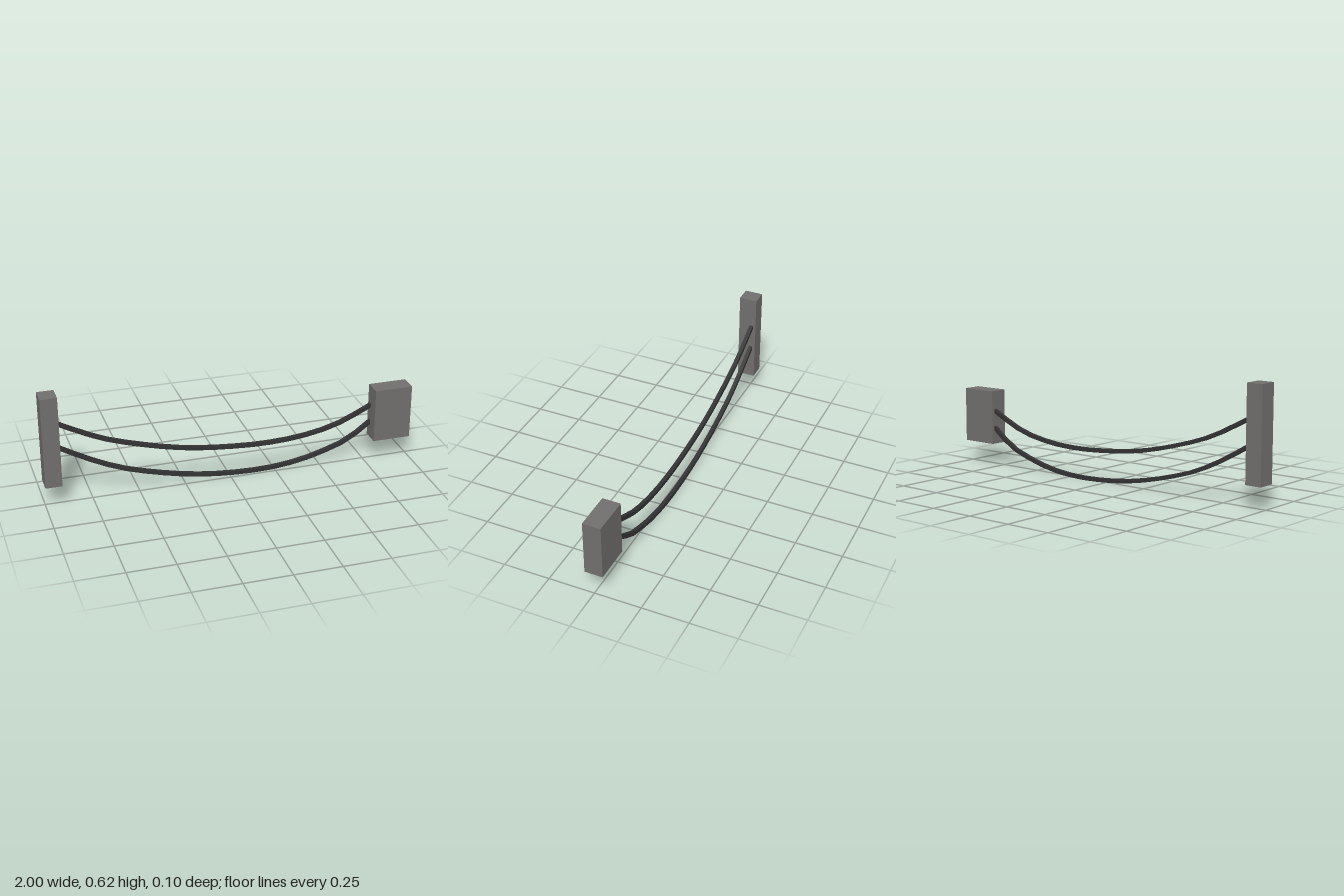
import * as THREE from 'three';

const CABLE = 0.021; // square cable thickness
const CABLE_Z = -0.023;

const postGrey = new THREE.MeshStandardMaterial({ color: 0x72706e, flatShading: true });
postGrey.name = 'postGrey';
const cableBlack = new THREE.MeshStandardMaterial({ color: 0x333333, flatShading: true });
cableBlack.name = 'cableBlack';

// Upright block spanning x0..x1 and y0..y1
function block(name, x0, x1, y0, y1) {
  const mesh = new THREE.Mesh(new THREE.BoxGeometry(x1 - x0, y1 - y0, 0.098), postGrey);
  mesh.position.set((x0 + x1) / 2, (y0 + y1) / 2, 0);
  mesh.name = name;
  return mesh;
}

// Sagging square cable: a curve thickened to a band, then extruded in depth
function cable(name, points) {
  const curve = new THREE.SplineCurve(points.map(([x, y]) => new THREE.Vector2(x, y)));
  const upper = [], lower = [], steps = 18;
  for (let i = 0; i <= steps; i++) {
    const p = curve.getPointAt(i / steps);
    const t = curve.getTangentAt(i / steps);
    const n = new THREE.Vector2(-t.y, t.x).multiplyScalar(CABLE / 2);
    upper.push(p.clone().add(n));
    lower.push(p.clone().sub(n));
  }
  const shape = new THREE.Shape([...lower, ...upper.reverse()]);
  const geometry = new THREE.ExtrudeGeometry(shape, { depth: CABLE, bevelEnabled: false });
  const mesh = new THREE.Mesh(geometry, cableBlack);
  mesh.position.z = CABLE_Z - CABLE / 2;
  mesh.name = name;
  return mesh;
}

export function createModel() {
  const group = new THREE.Group();
  group.name = 'hangingCables';
  group.add(
    block('tallPost', -1, -0.912, 0.12, 0.617),
    block('shortPost', 0.792, 1, 0.12, 0.418),
    cable('upperCable', [
      [-0.925, 0.448], [-0.676, 0.323], [-0.4, 0.238], [-0.2, 0.196], [0, 0.174],
      [0.195, 0.165], [0.4, 0.177], [0.6, 0.219], [0.8, 0.308],
    ]),
    cable('lowerCable', [
      [-0.925, 0.314], [-0.73, 0.204], [-0.527, 0.119], [-0.2, 0.039], [0.115, 0.0115],
      [0.37, 0.029], [0.6, 0.09], [0.7, 0.139], [0.8, 0.212],
    ]),
  );
  return group;
}
